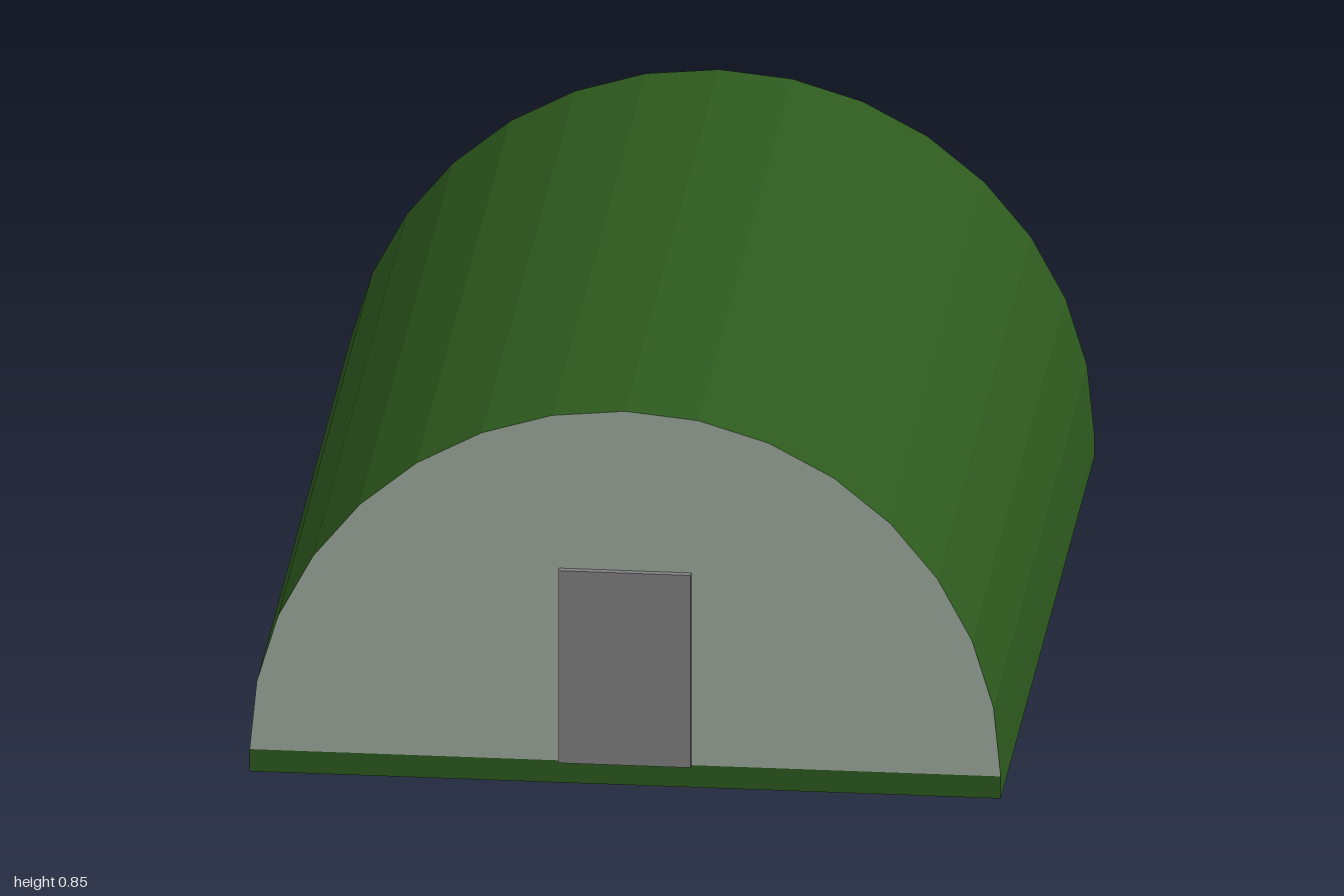
import * as THREE from 'three';

const RADIUS = 0.795, BASE = 0.05, BACK = -1, FRONT = 0.985, SIDES = 16;

export function createModel() {
  const group = new THREE.Group();
  const length = FRONT - BACK, midZ = (FRONT + BACK) / 2;
  const paint = (color) => new THREE.MeshStandardMaterial({ color, flatShading: true });
  const green = paint(0x2d5a1e), wall = paint(0x9caa9c), grey = paint(0x808080);

  const add = (name, geometry, material, x, y, z) => {
    const mesh = new THREE.Mesh(geometry, material);
    mesh.name = name;
    mesh.position.set(x, y, z);
    group.add(mesh);
    return mesh;
  };

  // Floor slab
  add('floorSlab', new THREE.BoxGeometry(RADIUS * 2, BASE, length), green, 0, BASE / 2, midZ);

  // Faceted half-barrel roof, axis along z
  const roof = new THREE.CylinderGeometry(RADIUS, RADIUS, length, SIDES, 1, true, Math.PI / 2, Math.PI);
  roof.rotateX(Math.PI / 2);
  add('archedRoof', roof, green, 0, BASE, midZ);

  // Half-round end walls, flush with the roof
  const end = new THREE.CircleGeometry(RADIUS, SIDES, 0, Math.PI);
  add('frontWall', end, wall, 0, BASE, FRONT);
  add('backWall', end, wall, 0, BASE, BACK).rotation.y = Math.PI;

  // Door, standing slightly proud of the front wall
  add('door', new THREE.BoxGeometry(0.28, 0.435, 0.03), grey, 0, BASE + 0.2175, 0.985);

  return group;
}
